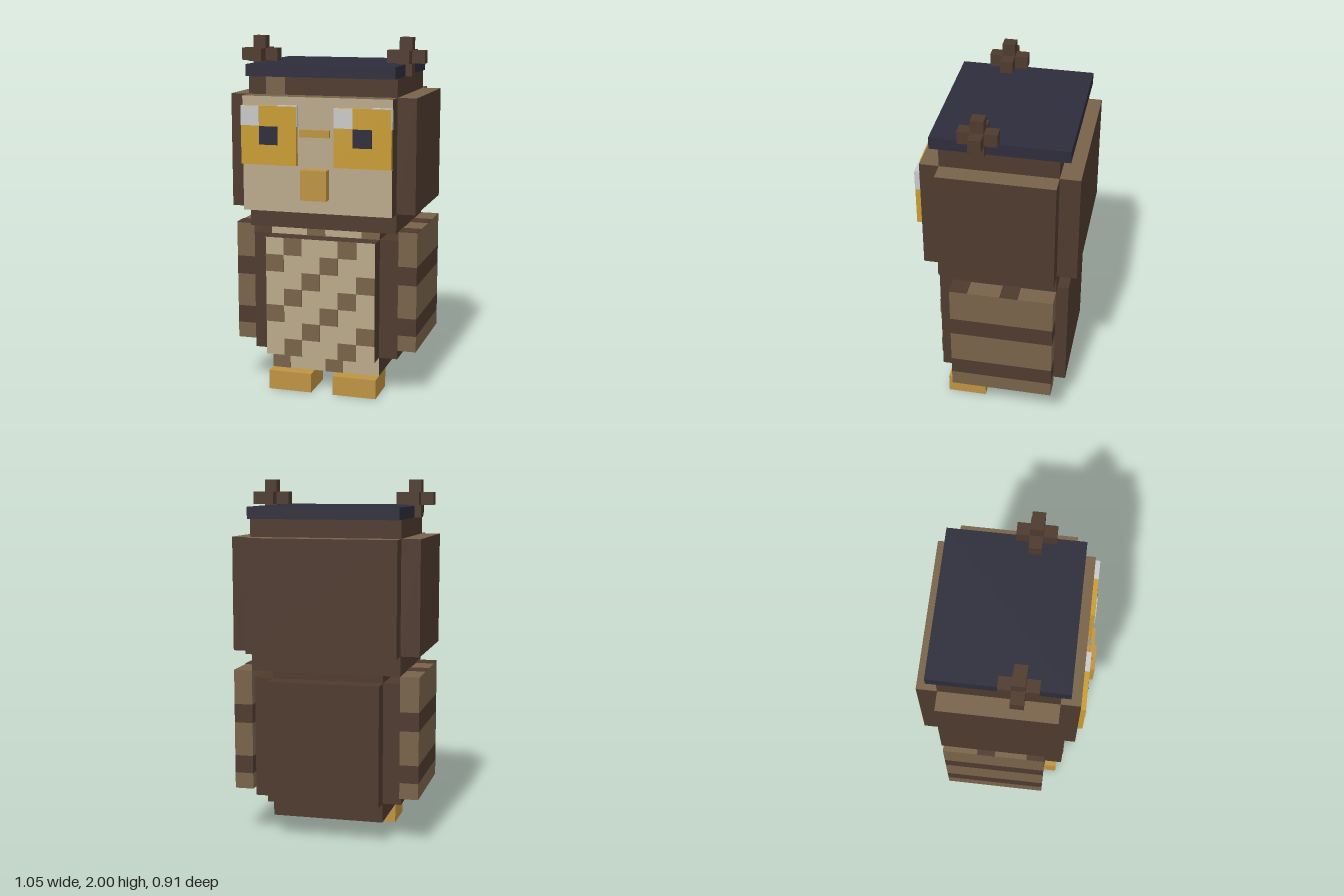
import * as THREE from 'three';

const mat = (name, color) => {
  const m = new THREE.MeshStandardMaterial({ color });
  m.name = name;
  return m;
};

export function createModel() {
  const dark = mat('dark brown feathers', 0x4e3a2e);
  const light = mat('light brown feathers', 0x78634a);
  const tan = mat('tan plumage', 0xb9a98a);
  const yellow = mat('eye yellow', 0xc89c34);
  const horn = mat('beak and feet', 0xbd9343);
  const navy = mat('navy', 0x2d2c3b);
  const grey = mat('eye highlight', 0xc8c8c8);

  const owl = new THREE.Group();
  owl.name = 'owl';

  // Box given by its limits on each axis; material array order: +x -x +y -y +z -z
  const box = (parent, name, material, [x0, x1], [y0, y1], [z0, z1]) => {
    const mesh = new THREE.Mesh(new THREE.BoxGeometry(x1 - x0, y1 - y0, z1 - z0), material);
    mesh.position.set((x0 + x1) / 2, (y0 + y1) / 2, (z0 + z1) / 2);
    mesh.name = name;
    parent.add(mesh);
    return mesh;
  };
  const group = (name) => {
    const g = new THREE.Group();
    g.name = name;
    owl.add(g);
    return g;
  };
  const side = (s, a, b) => (s > 0 ? [a, b] : [-b, -a]);
  const T = 0.004; // thickness of painted plates

  const lightTop = [dark, dark, light, dark, dark, dark];
  const tanFront = [dark, dark, dark, dark, tan, dark];

  // Body: core with a raised slab on each side
  const body = group('body');
  box(body, 'bodyCore', tanFront, [-0.315, 0.315], [0.11, 0.95], [-0.29, 0.23]);
  box(body, 'belly', tanFront, [-0.315, 0.315], [0.22, 0.9], [0.23, 0.335]);
  box(body, 'back', dark, [-0.315, 0.315], [0.22, 0.9], [-0.4, -0.29]);
  for (const s of [1, -1]) box(body, 'flank', dark, side(s, 0.315, 0.42), [0.22, 0.9], [-0.29, 0.23]);

  // Diagonal checks on the belly; the first and last rows lie on the core
  const rowEdges = [0.95];
  for (let i = 0; i <= 7; i++) rowEdges.push(0.9 - i * 0.68 / 7);
  rowEdges.push(0.11);
  for (let r = 0; r < 9; r++) {
    const z = r === 0 || r === 8 ? 0.23 : 0.335;
    for (let c = 0; c < 6; c++) {
      if ((c + r) % 3 !== 2) continue;
      const x = -0.315 + c * 0.105;
      box(body, 'bellySpot', light, [x, x + 0.105], [rowEdges[r + 1], rowEdges[r]], [z, z + T]);
    }
  }

  // Wings: stacked bands, with two dark spots on the top
  const bands = [0.27, 0.36, 0.46, 0.65, 0.755, 0.95];
  for (const s of [1, -1]) {
    const wing = group(s > 0 ? 'leftWing' : 'rightWing');
    for (let i = 0; i < 5; i++) {
      box(wing, 'wingBand', i % 2 ? dark : light, side(s, 0.42, 0.525), [bands[i], bands[i + 1]], [-0.345, 0.23]);
    }
    for (const z of [0.13, -0.15]) {
      box(wing, 'wingSpot', dark, side(s, 0.42, 0.525), [0.95, 0.95 + T], [z, z + 0.1]);
    }
  }

  // Head: core with raised slabs that have light upper edges
  const head = group('head');
  const slabY = [1.06, 1.69];
  box(head, 'headCore', dark, [-0.42, 0.42], [0.95, 1.79], [-0.345, 0.285]);
  box(head, 'face', [dark, dark, light, dark, tan, dark], [-0.42, 0.42], slabY, [0.285, 0.39]);
  box(head, 'headBack', lightTop, [-0.42, 0.42], slabY, [-0.455, -0.345]);
  for (const s of [1, -1]) box(head, 'headSide', lightTop, side(s, 0.42, 0.525), slabY, [-0.345, 0.285]);
  box(head, 'foreheadSpot', light, [-0.32, -0.21], [1.69, 1.79], [0.285, 0.285 + T]);

  // Eyes: the highlight sits at the same corner on both
  for (const s of [1, -1]) {
    const eye = group(s > 0 ? 'leftEye' : 'rightEye');
    const [x0, x1] = side(s, 0.105, 0.42);
    const [z0, z1] = [0.39, 0.417];
    box(eye, 'iris', yellow, [x0, x1], [1.32, 1.64], [z0, z1]);
    box(eye, 'highlight', grey, [x0, x0 + 0.105], [1.533, 1.64], [z1, z1 + T]);
    box(eye, 'pupil', navy, [x0 + 0.105, x1 - 0.105], [1.43, 1.53], [z1, z1 + T]);
    box(eye, 'topHighlight', grey, [x1 - 0.105, x1], [1.64, 1.64 + T], [z0, z1]);
    box(eye, 'sideHighlight', grey, [x1, x1 + T], [1.533, 1.64], [z0, z1]);
  }

  // Bridge between the eyes, and the beak
  box(owl, 'bridge', horn, [-0.083, 0.083], [1.48, 1.52], [0.41, 0.432]);
  box(owl, 'beak', horn, [-0.072, 0.072], [1.14, 1.305], [0.39, 0.452]);

  // Flat cap
  box(owl, 'cap', navy, [-0.42, 0.42], [1.79, 1.855], [-0.4, 0.335]);

  // Ear tufts (three crossed bars) and feet
  for (const s of [1, -1]) {
    const tuft = group(s > 0 ? 'leftTuft' : 'rightTuft');
    tuft.position.set(s * 0.421, 1.895, 0.073);
    const a = [-0.035, 0.035], b = [-0.105, 0.105];
    box(tuft, 'tuftBarAcross', dark, b, a, a);
    box(tuft, 'tuftBarUpright', dark, a, b, a);
    box(tuft, 'tuftBarDepth', dark, a, a, b);
    box(owl, s > 0 ? 'leftFoot' : 'rightFoot', horn, side(s, 0.063, 0.315), [0, 0.11], [0.08, 0.305]);
  }

  return owl;
}
